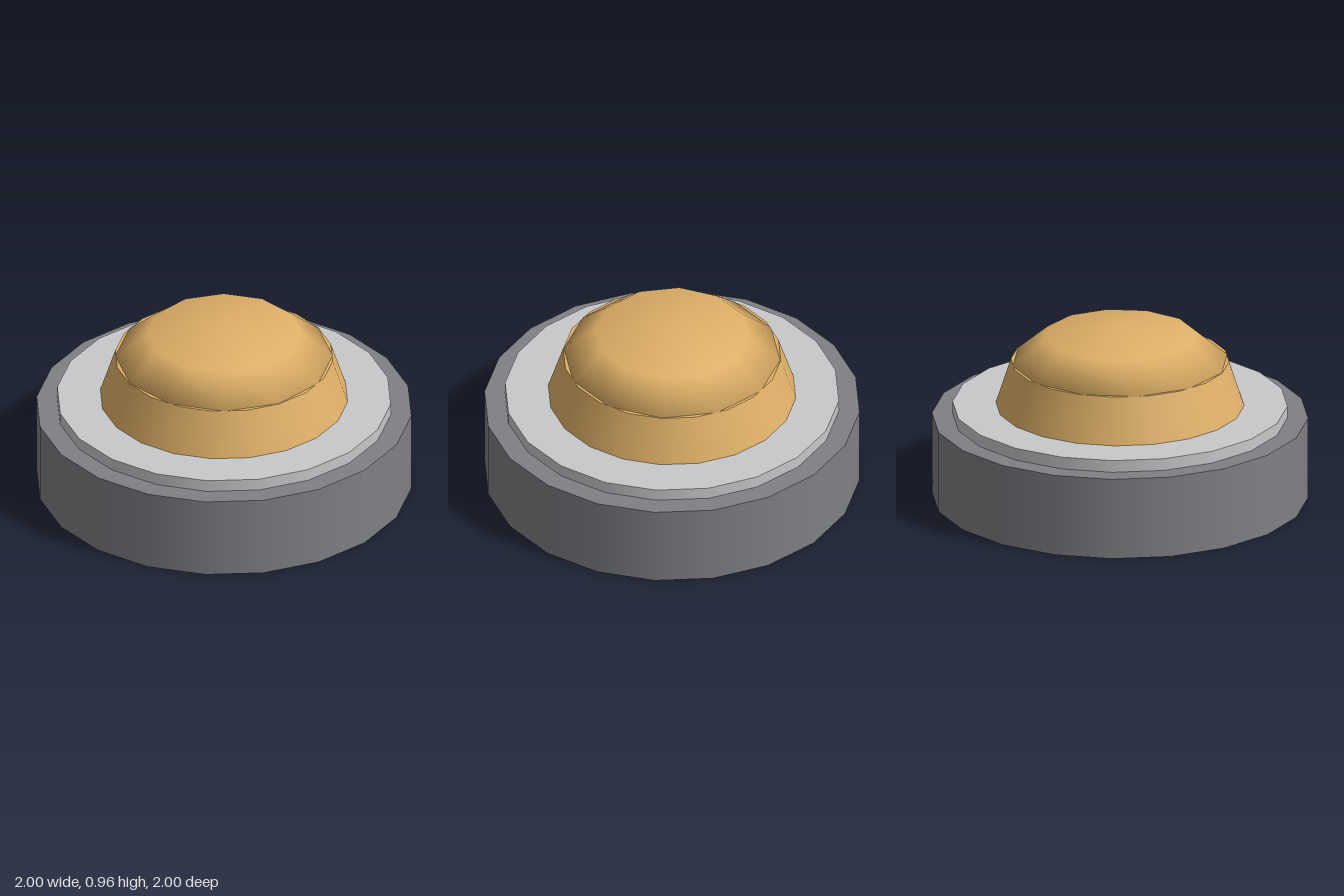
import * as THREE from 'three';

export function createModel() {
  const model = new THREE.Group();
  model.name = 'domeButton';

  const material = (name, color) => {
    const m = new THREE.MeshStandardMaterial({ color });
    m.name = name;
    return m;
  };
  const darkGrey = material('darkGrey', 0x7f8085);
  const lightGrey = material('lightGrey', 0xc7c8ca);
  const amber = material('amber', 0xdfb067);

  // A 20-sided capped disc standing between two heights
  const disc = (name, bottomRadius, topRadius, y0, y1, mat) => {
    const geometry = new THREE.CylinderGeometry(topRadius, bottomRadius, y1 - y0, 20);
    const mesh = new THREE.Mesh(geometry, mat);
    mesh.name = name;
    mesh.position.y = (y0 + y1) / 2;
    model.add(mesh);
  };

  disc('base', 1, 1, 0, 0.448, darkGrey);
  disc('trimRing', 0.89, 0.89, 0.448, 0.514, lightGrey);
  disc('lensCollar', 0.66, 0.58, 0.514, 0.76, amber);

  // Flattened 12-sided dome on top of the collar
  const domeGeometry = new THREE.SphereGeometry(0.577, 12, 2, 0, Math.PI * 2, 0, Math.PI / 2);
  domeGeometry.scale(1, 0.2 / 0.577, 1);
  const dome = new THREE.Mesh(domeGeometry, amber);
  dome.name = 'lensDome';
  dome.position.y = 0.76;
  model.add(dome);

  return model;
}
